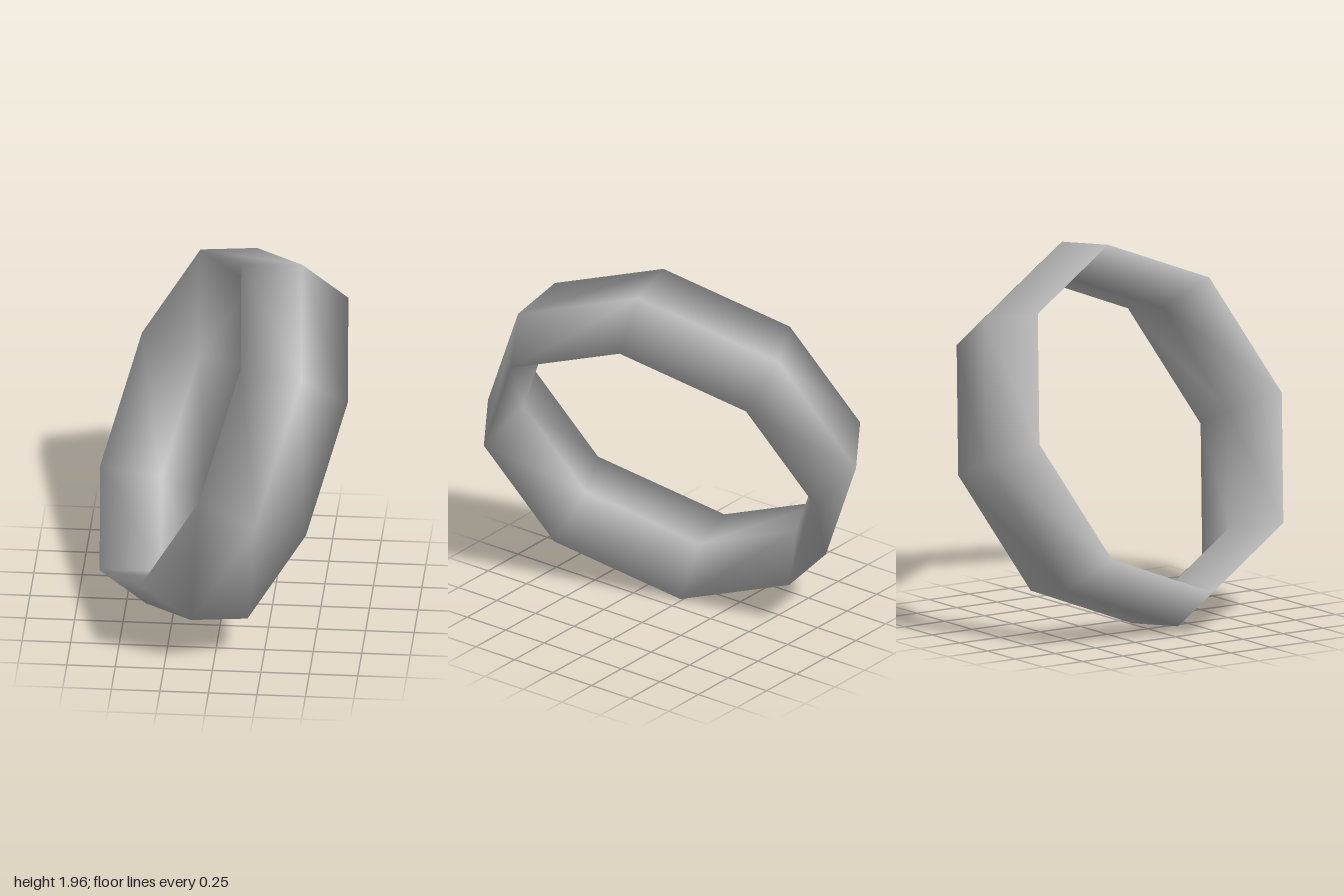
import * as THREE from 'three';

export function createModel() {
  const group = new THREE.Group();
  group.name = 'tiltedRing';

  const grey = new THREE.MeshStandardMaterial({ color: 0xb8b8b8, side: THREE.DoubleSide });
  grey.name = 'grey';

  // Eight-sided ring with a flat, wide diamond section and smooth normals
  const radius = 0.935, halfThickness = 0.1, halfWidth = 0.303;
  const geometry = new THREE.TorusGeometry(radius, halfThickness, 4, 8);
  geometry.scale(1, 1, halfWidth / halfThickness);

  // Tilt: two corner directions of the octagon and the ring's axis
  const corner = new THREE.Vector3(0.384, 0.92, -0.085).normalize();
  const axis = corner.clone().cross(new THREE.Vector3(0.238, 0, 0.97)).normalize();
  const side = axis.clone().cross(corner);
  geometry.applyMatrix4(new THREE.Matrix4().makeBasis(corner, side, axis));

  const ring = new THREE.Mesh(geometry, grey);
  ring.name = 'ringBand';
  ring.position.y = -new THREE.Box3().setFromBufferAttribute(geometry.attributes.position).min.y;
  group.add(ring);
  return group;
}
